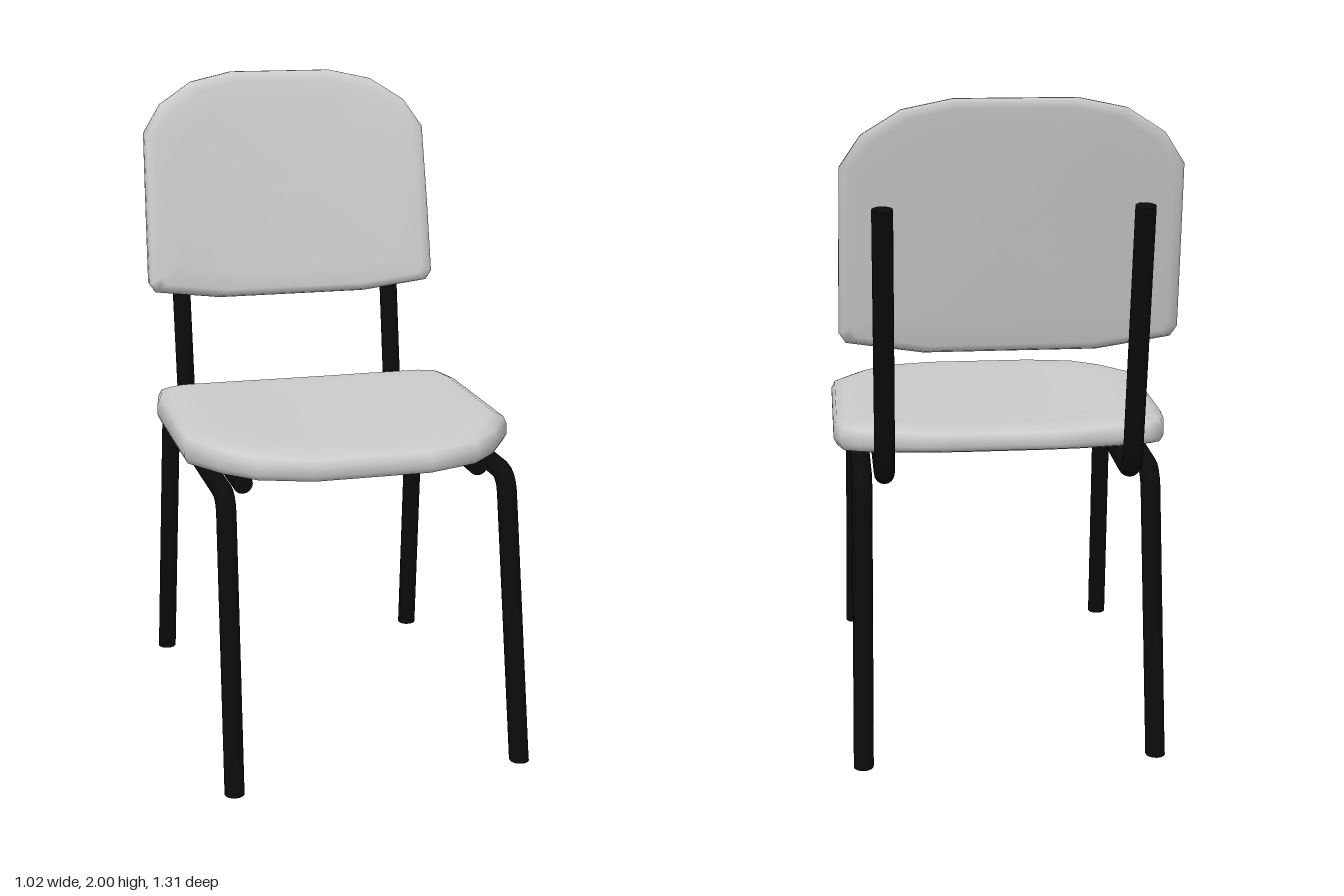
import * as THREE from 'three';

const padMaterial = new THREE.MeshStandardMaterial({ color: 0xcccccc });
const frameMaterial = new THREE.MeshStandardMaterial({ color: 0x0b0b0b });
const RADIUS = 0.03;

// Polyline with rounded corners
function bentPath(points, bend) {
  const path = new THREE.CurvePath();
  let from = points[0];
  for (let i = 1; i < points.length - 1; i++) {
    const corner = points[i];
    const toward = (p) => corner.clone().add(p.clone().sub(corner).setLength(bend));
    const a = toward(points[i - 1]);
    const b = toward(points[i + 1]);
    path.add(new THREE.LineCurve3(from, a));
    path.add(new THREE.QuadraticBezierCurve3(a, corner, b));
    from = b;
  }
  path.add(new THREE.LineCurve3(from, points[points.length - 1]));
  return path;
}

// Steel tube with closed ends, cut flat at floor level
function tube(name, coords, bend) {
  const group = new THREE.Group();
  group.name = name;
  const path = bentPath(coords.map((c) => new THREE.Vector3(...c)), bend);
  const add = (geometry, part) => {
    const p = geometry.attributes.position;
    for (let i = 0; i < p.count; i++) p.setY(i, Math.max(0, p.getY(i)));
    const mesh = new THREE.Mesh(geometry, frameMaterial);
    mesh.name = part;
    group.add(mesh);
  };
  add(new THREE.TubeGeometry(path, 120, RADIUS, 16), name + 'Bar');
  for (const t of [0, 1]) {
    const outward = path.getTangentAt(t).multiplyScalar(t ? 1 : -1);
    const turn = new THREE.Quaternion().setFromUnitVectors(new THREE.Vector3(0, 0, 1), outward);
    const end = path.getPointAt(t);
    add(new THREE.CircleGeometry(RADIUS, 16).applyQuaternion(turn).translate(end.x, end.y, end.z), name + 'End');
  }
  return group;
}

// Cushion: rings of a mirrored outline, [scale, depth], from the underside centre to the top centre
const PAD_RINGS = [[0, 0], [0.35, 0], [0.7, 0], [0.93, 0], [0.98, 0.08], [1, 0.28], [1, 0.6],
  [0.98, 0.84], [0.92, 1], [0.75, 1], [0.5, 1], [0.25, 1], [0, 1]];

function pad(name, half, centre, place) {
  // half runs up the +x side; its mirror closes the loop counter-clockwise
  const outline = [...half, ...half.map(([a, b]) => [-a, b]).reverse()];
  const n = outline.length;
  const positions = [];
  const index = [];
  PAD_RINGS.forEach(([s, t], r) => {
    outline.forEach(([a, b], j) => {
      positions.push(...place(a * s, centre + (b - centre) * s, t));
      if (r === PAD_RINGS.length - 1) return;
      const p = r * n + j, q = r * n + (j + 1) % n;
      if (r > 0) index.push(p, q, p + n);
      if (r < PAD_RINGS.length - 2) index.push(q, q + n, p + n);
    });
  });
  const geometry = new THREE.BufferGeometry();
  geometry.setAttribute('position', new THREE.Float32BufferAttribute(positions, 3));
  geometry.setIndex(index);
  geometry.computeVertexNormals();
  const mesh = new THREE.Mesh(geometry, padMaterial);
  mesh.name = name;
  return mesh;
}

export function createModel() {
  const chair = new THREE.Group();
  chair.name = 'chair';

  // Seat: dished across, rising slightly to the rear
  chair.add(pad('seat',
    [[0.18, -0.545], [0.34, -0.49], [0.43, -0.4], [0.51, -0.27], [0.51, 0.0], [0.51, 0.22],
      [0.49, 0.32], [0.44, 0.35], [0.24, 0.385], [0.14, 0.392]], 0,
    (x, b, t) => {
      const bottom = 0.905 + 0.12 * Math.max(0, b - 0.2);
      const top = 0.987 + 0.016 * (x / 0.47) ** 2 + 0.01 * (b + 0.5);
      return [x, THREE.MathUtils.lerp(bottom, top, t), -b];
    }));

  // Backrest: leans back, thins toward the top, sides curve forward
  chair.add(pad('backrest',
    [[0.25, 1.265], [0.47, 1.295], [0.49, 1.325], [0.486, 1.55], [0.48, 1.81], [0.42, 1.9],
      [0.31, 1.97], [0.17, 2.0]], 1.62,
    (x, y, t) => {
      const h = y - 1.3;
      const curve = 0.03 * (x / 0.49) ** 2;
      const back = -0.525 - 0.175 * h + curve;
      const front = -0.45 - 0.17 * h - 0.075 * h * h + curve;
      return [x, y, THREE.MathUtils.lerp(back, front, t)];
    }));

  // Frame: a leg loop and a back support on each side
  for (const [side, s] of [['left', 1], ['right', -1]]) {
    chair.add(tube(side + 'Legs', [
      [s * 0.445, -0.02, 0.628], [s * 0.43, 0.875, 0.488],
      [s * 0.43, 0.875, -0.435], [s * 0.445, -0.02, -0.548]], 0.06));
    chair.add(tube(side + 'BackSupport', [
      [s * 0.365, 0.885, 0.42], [s * 0.365, 0.885, -0.492], [s * 0.365, 1.7, -0.62]], 0.08));
  }
  return chair;
}
